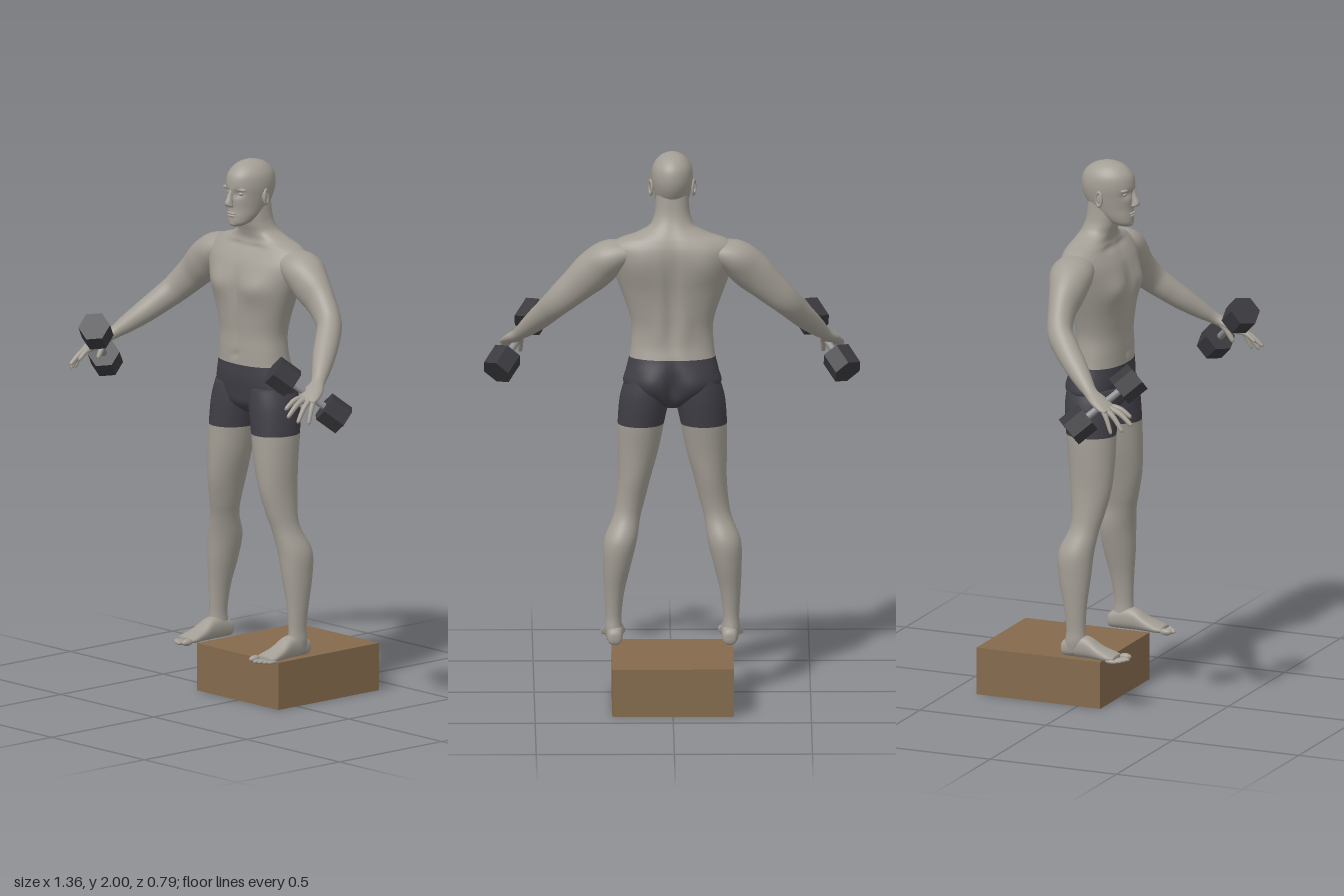
import * as THREE from 'three';

const V3 = (x, y, z) => new THREE.Vector3(x, y, z);
const SUB = 5;

// Catmull-Rom smoothing of a list of number rows
function smooth(rows) {
  const out = [], last = rows.length - 1;
  for (let i = 0; i < last; i++) {
    const p0 = rows[Math.max(i - 1, 0)], p1 = rows[i], p2 = rows[i + 1], p3 = rows[Math.min(i + 2, last)];
    for (let k = 0; k < SUB; k++) {
      const t = k / SUB;
      out.push(p1.map((b, c) => b + 0.5 * t * (p2[c] - p0[c] + t * (2 * p0[c] - 5 * b + 4 * p2[c] - p3[c]
        + t * (3 * (b - p2[c]) + p3[c] - p0[c])))));
    }
  }
  out.push(rows[last]);
  return out;
}

// Skin over rings [x, y, z, radiusU, radiusV]. With dir the rings stay square to it,
// otherwise they follow the path with U kept horizontal. split = ring where material 1 starts.
function loft(rows, { dir, sides = 24, power = 2, split, sculpt } = {}) {
  const rings = smooth(rows), pos = [], index = [];
  const centre = i => V3(...rings[Math.min(Math.max(i, 0), rings.length - 1)].slice(0, 3));
  rings.forEach((r, i) => {
    const T = dir ? dir.clone() : centre(i + 1).sub(centre(i - 1)).normalize();
    const U = dir ? V3(1, 0, 0) : V3(T.z, 0, -T.x).normalize();
    const V = T.clone().cross(U);
    for (let j = 0; j < sides; j++) {
      const a = j / sides * Math.PI * 2, c = Math.cos(a), s = Math.sin(a);
      const p = centre(i)
        .addScaledVector(U, Math.sign(c) * Math.abs(c) ** (2 / power) * Math.max(r[3], 0.001))
        .addScaledVector(V, Math.sign(s) * Math.abs(s) ** (2 / power) * Math.max(r[4], 0.001));
      if (sculpt) sculpt(p);
      pos.push(p.x, p.y, p.z);
    }
  });
  for (let i = 0; i < rings.length - 1; i++) {
    for (let j = 0; j < sides; j++) {
      const a = i * sides + j, b = i * sides + (j + 1) % sides;
      index.push(a, b, b + sides, a, b + sides, a + sides);
    }
  }
  const cut = split === undefined ? 0 : split * SUB * sides * 6, body = index.length;
  // end caps
  const n = rings.length - 1;
  pos.push(...rings[0].slice(0, 3), ...rings[n].slice(0, 3));
  const c0 = (n + 1) * sides;
  for (let j = 0; j < sides; j++) {
    const k = (j + 1) % sides;
    index.push(c0 + 1, n * sides + j, n * sides + k);
  }
  for (let j = 0; j < sides; j++) index.push(c0, (j + 1) % sides, j);
  const g = new THREE.BufferGeometry();
  g.setAttribute('position', new THREE.Float32BufferAttribute(pos, 3));
  g.setIndex(index);
  if (cut) {
    g.addGroup(0, cut, 0);
    g.addGroup(cut, body + sides * 3 - cut, 1);
    g.addGroup(body + sides * 3, sides * 3, 0);
  }
  g.computeVertexNormals();
  return g;
}

// Mirror a geometry across x = 0, keeping faces outward
function mirror(g) {
  const m = g.clone().scale(-1, 1, 1);
  if (m.index) {
    const a = m.index.array;
    for (let i = 0; i < a.length; i += 3) [a[i], a[i + 1]] = [a[i + 1], a[i]];
  }
  return m;
}

const blob = (x, y, z, rx, ry, rz) =>
  new THREE.SphereGeometry(1, 20, 14).scale(rx, ry, rz).translate(x, y, z);

export function createModel() {
  const model = new THREE.Group();
  model.name = 'athlete';
  const mat = (name, color) => Object.assign(new THREE.MeshStandardMaterial({ color }), { name });
  const skin = mat('skin', 0xa39e95), cloth = mat('shorts', 0x413f47);
  const iron = mat('iron', 0x3a393e), steel = mat('steel', 0x8e8d90), wood = mat('wood', 0x846a4d);
  const add = (name, g, m) => {
    const mesh = new THREE.Mesh(g, m);
    mesh.name = name;
    model.add(mesh);
  };
  const pair = (name, g, m) => { add(name + 'Left', g, m); add(name + 'Right', mirror(g), m); };
  const up = V3(0, 1, 0), down = V3(0, -1, 0), forward = V3(0, 0, 1);

  // Step box
  add('stepBox', new THREE.BoxGeometry(0.44, 0.175, 0.49).translate(0, 0.0875, -0.155), wood);

  // Torso, pelvis and neck; muscles are soft bumps [front/back, x, y, width, height, depth]
  const muscles = [
    [1, 0.095, 1.54, 0.06, 0.05, 0.016], [1, 0, 1.53, 0.014, 0.08, -0.012], [1, 0, 1.38, 0.012, 0.08, -0.005],
    [1, 0, 1.285, 0.012, 0.01, -0.008], [1, 0.05, 1.68, 0.05, 0.012, -0.008],
    [-1, 0, 1.5, 0.022, 0.17, -0.018], [-1, 0.12, 1.6, 0.06, 0.07, 0.01], [-1, 0.045, 1.36, 0.025, 0.07, 0.006],
    [-1, 0.08, 1.15, 0.05, 0.05, 0.016], [-1, 0, 1.14, 0.016, 0.07, -0.028],
  ];
  const torso = [
    [1.065, 0, 0.03, 0.05], [1.10, 0, 0.11, 0.085], [1.15, -0.002, 0.175, 0.097], [1.20, 0.001, 0.168, 0.102],
    [1.25, 0.006, 0.156, 0.097], [1.30, 0.011, 0.15, 0.091], [1.36, 0.011, 0.147, 0.089], [1.42, 0.01, 0.16, 0.094],
    [1.50, 0.007, 0.188, 0.102], [1.56, 0.001, 0.21, 0.106], [1.62, -0.01, 0.232, 0.101], [1.66, -0.02, 0.235, 0.088],
    [1.69, -0.024, 0.195, 0.074], [1.71, -0.022, 0.135, 0.066], [1.735, -0.012, 0.085, 0.062],
    [1.765, 0, 0.068, 0.061], [1.80, 0.007, 0.062, 0.06], [1.86, 0.008, 0.058, 0.055],
  ].map(([y, z, rx, rz]) => [0, y, z, rx, rz]);
  add('torso', loft(torso, {
    dir: up, sides: 64, power: 2.25, split: 4,
    sculpt: p => {
      const side = Math.sign(p.z);
      for (const [s, x, y, w, h, d] of muscles) {
        if (s === side) p.z += s * d * Math.min(1, Math.abs(p.z) / 0.05)
          * Math.exp(-(((Math.abs(p.x) - x) / w) ** 2) - ((p.y - y) / h) ** 2);
      }
    },
  }), [cloth, skin]);

  // Legs, with the shorts ending at mid thigh
  const leg = [
    [0.088, 1.17, 0, 0.082, 0.092], [0.10, 1.10, 0.002, 0.09, 0.097], [0.114, 1.0, 0.008, 0.084, 0.093],
    [0.124, 0.9, 0.015, 0.074, 0.086], [0.137, 0.8, 0.017, 0.06, 0.078], [0.152, 0.71, 0.013, 0.052, 0.062],
    [0.166, 0.65, 0.003, 0.05, 0.056], [0.188, 0.57, -0.019, 0.06, 0.066], [0.20, 0.48, -0.019, 0.051, 0.06],
    [0.21, 0.38, -0.013, 0.037, 0.044], [0.213, 0.29, -0.009, 0.029, 0.036], [0.213, 0.24, -0.01, 0.031, 0.04],
    [0.21, 0.20, -0.015, 0.027, 0.04],
  ];
  pair('leg', loft(leg, { dir: down, sides: 32, split: 2 }), [cloth, skin]);

  // Feet and toes
  const foot = [
    [0.208, 0.215, -0.066, 0.008, 0.01], [0.208, 0.215, -0.056, 0.025, 0.028], [0.209, 0.224, -0.01, 0.031, 0.039],
    [0.21, 0.224, 0.04, 0.034, 0.039], [0.212, 0.209, 0.09, 0.04, 0.024], [0.213, 0.201, 0.13, 0.045, 0.016],
    [0.211, 0.198, 0.155, 0.038, 0.01],
  ];
  pair('foot', loft(foot, { dir: forward, power: 2.4 }), skin);
  [[0.181, 0.172, 0.014], [0.205, 0.176, 0.009], [0.222, 0.169, 0.009], [0.238, 0.159, 0.008], [0.252, 0.147, 0.008]]
    .forEach(([x, z, r], i) => pair('toe' + (i + 1), blob(x, 0.184 + r * 0.9, z, r, r * 0.9, 0.024), skin));

  // Arms running into the palms
  const arm = [
    [0.15, 1.645, -0.025, 0.065, 0.04], [0.225, 1.62, -0.02, 0.08, 0.066], [0.285, 1.57, -0.012, 0.067, 0.073],
    [0.345, 1.515, -0.006, 0.051, 0.063], [0.41, 1.452, 0.015, 0.046, 0.053], [0.45, 1.405, 0.06, 0.045, 0.047],
    [0.487, 1.36, 0.11, 0.042, 0.041], [0.525, 1.317, 0.16, 0.033, 0.032], [0.553, 1.285, 0.2, 0.026, 0.022],
    [0.57, 1.265, 0.235, 0.037, 0.02], [0.583, 1.245, 0.272, 0.041, 0.016], [0.59, 1.235, 0.295, 0.034, 0.009],
  ];
  pair('arm', loft(arm, { sides: 32 }), skin);

  // Fingers and thumb: knuckle, tip, radius
  [
    [[0.558, 1.246, 0.285], [0.556, 1.212, 0.362], 0.0095], [[0.577, 1.245, 0.285], [0.586, 1.19, 0.378], 0.01],
    [[0.597, 1.244, 0.28], [0.611, 1.17, 0.352], 0.0095], [[0.611, 1.244, 0.272], [0.63, 1.163, 0.315], 0.0085],
    [[0.548, 1.27, 0.225], [0.548, 1.205, 0.277], 0.011],
  ].forEach(([a, b, r], i) => {
    const at = (t, lift, k) => [0, 1, 2].map(c => a[c] + (b[c] - a[c]) * t + (c === 1 ? lift : 0)).concat(r * k, r * k);
    const rows = [at(0, 0, 0.8), at(0.1, 0.002, 1.1), at(0.5, 0.008, 1), at(0.93, 0, 0.75), at(1, 0, 0.1)];
    pair(i < 4 ? 'finger' + (i + 1) : 'thumb', loft(rows, { sides: 12 }), skin);
  });

  // Hexagonal dumbbells
  const inner = V3(0.503, 1.32, 0.326), outer = V3(0.615, 1.18, 0.178);
  const turn = new THREE.Quaternion().setFromUnitVectors(up, outer.clone().sub(inner).normalize());
  const bar = (p, r, len, sides) => new THREE.CylinderGeometry(r, r, len, sides).applyQuaternion(turn).translate(p.x, p.y, p.z);
  pair('dumbbellHandle', bar(inner.clone().lerp(outer, 0.5), 0.013, 0.18, 20), steel);
  for (const [name, p] of [['dumbbellInnerWeight', inner], ['dumbbellOuterWeight', outer]]) {
    const g = bar(p, 0.058, 0.088, 6);
    for (const [side, h] of [['Left', g], ['Right', mirror(g)]]) {
      const flat = h.toNonIndexed();
      flat.computeVertexNormals();
      add(name + side, flat, iron);
    }
  }

  // Head
  const head = [
    [1.762, 0.092, 0.018, 0.022], [1.775, 0.08, 0.04, 0.042], [1.80, 0.058, 0.054, 0.065], [1.83, 0.04, 0.062, 0.081],
    [1.87, 0.029, 0.07, 0.095], [1.91, 0.026, 0.075, 0.101], [1.95, 0.026, 0.07, 0.094], [1.98, 0.026, 0.05, 0.067],
    [1.995, 0.027, 0.025, 0.034], [2.0, 0.027, 0.003, 0.004],
  ].map(([y, z, rx, rz]) => [0, y, z, rx, rz]);
  add('head', loft(head, {
    dir: up, sides: 48,
    sculpt: p => {   // eye sockets
      if (p.z > 0) p.z -= 0.012 * Math.exp(-(((Math.abs(p.x) - 0.03) / 0.016) ** 2) - ((p.y - 1.885) / 0.012) ** 2);
    },
  }), skin);

  // Face and ears
  const nose = [
    [0, 1.90, 0.119, 0.007, 0.008], [0, 1.875, 0.127, 0.009, 0.011], [0, 1.852, 0.133, 0.014, 0.016],
    [0, 1.84, 0.13, 0.017, 0.013], [0, 1.834, 0.124, 0.008, 0.006],
  ];
  add('nose', loft(nose, { dir: down, sides: 16 }), skin);
  add('upperLip', blob(0, 1.812, 0.12, 0.022, 0.005, 0.009), skin);
  add('lowerLip', blob(0, 1.802, 0.119, 0.019, 0.006, 0.009), skin);
  add('chin', blob(0, 1.775, 0.108, 0.022, 0.014, 0.015), skin);
  pair('eye', blob(0.03, 1.885, 0.1, 0.013, 0.008, 0.011), skin);
  pair('brow', blob(0.031, 1.902, 0.108, 0.023, 0.006, 0.012).rotateY(0.06), skin);
  pair('earRim', new THREE.TorusGeometry(0.017, 0.005, 10, 24).scale(0.8, 1.45, 1)
    .rotateY(Math.PI / 2 + 0.35).translate(0.078, 1.87, 0.022), skin);
  pair('earBowl', blob(0.074, 1.87, 0.024, 0.006, 0.022, 0.013), skin);

  return model;
}
